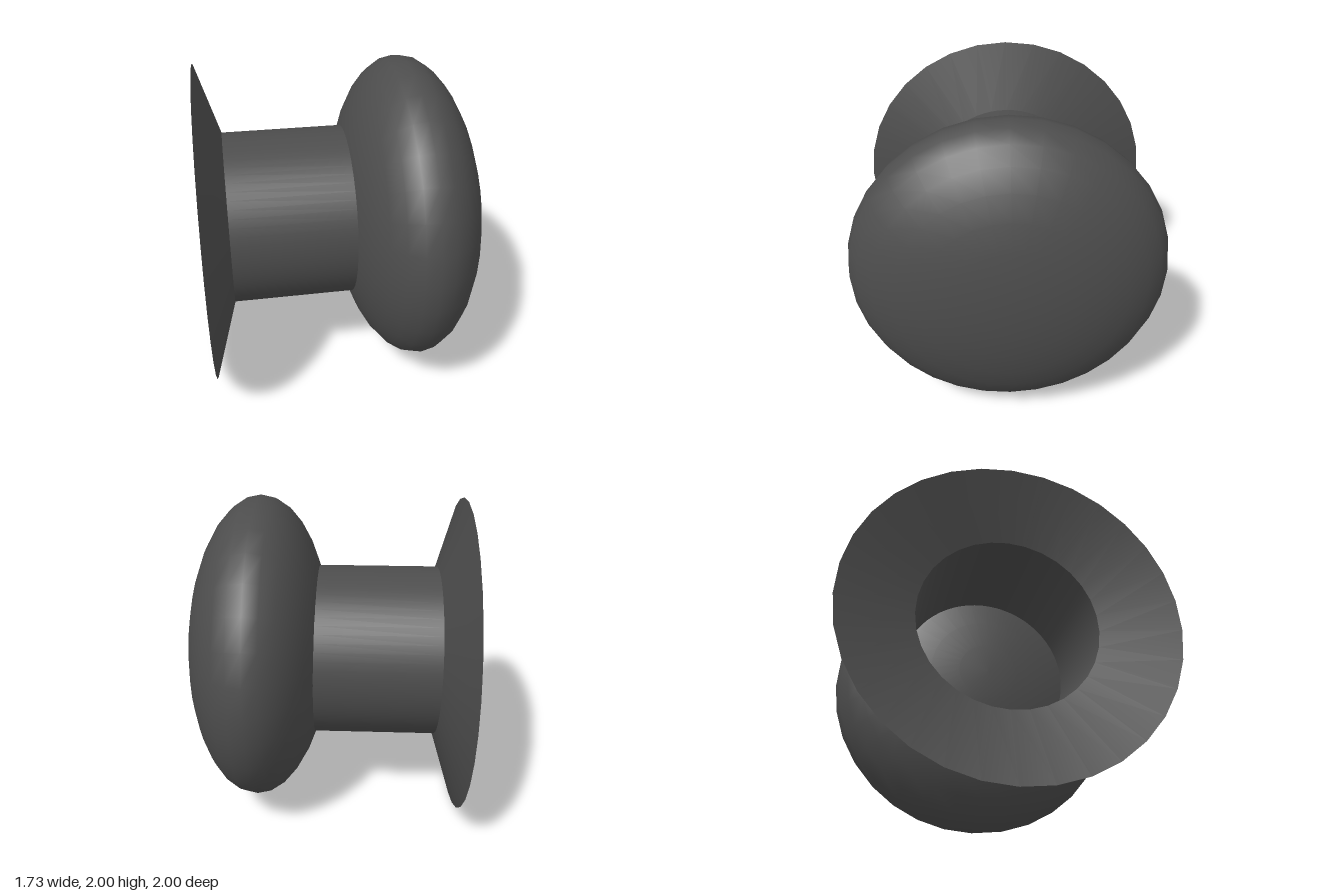
import * as THREE from 'three';

export function createModel() {
  const model = new THREE.Group();
  const darkGrey = new THREE.MeshStandardMaterial({ color: 0x4d4d4d, side: THREE.DoubleSide });
  darkGrey.name = 'darkGrey';

  const add = (name, geometry, x, y, z) => {
    const mesh = new THREE.Mesh(geometry, darkGrey);
    mesh.name = name;
    mesh.position.set(x, y, z);
    model.add(mesh);
    return mesh;
  };

  // Open tube or cone lying along x; radii run from the -x end to the +x end
  const tube = (startRadius, endRadius, length, sides) =>
    new THREE.CylinderGeometry(endRadius, startRadius, length, sides, 1, true).rotateZ(-Math.PI / 2);

  // Flattened round cap, with its poles along x
  const cap = new THREE.SphereGeometry(1, 32, 16).rotateZ(-Math.PI / 2).scale(0.45, 0.975, 0.975);
  add('cap', cap, 0.41, 1.025, 0.022);

  // Hollow stem, ending just inside the cap
  add('stem', tube(0.545, 0.545, 0.78, 64), -0.33, 1.017, 0);

  // Flared base rim, its inner ring raised slightly to meet the stem
  const rim = tube(1, 0.545, 0.145, 32);
  const points = rim.attributes.position;
  for (let i = 0; i < points.count; i++) {
    if (points.getX(i) > 0) points.setY(i, points.getY(i) + 0.017);
  }
  add('baseRim', rim, -0.7925, 1, 0);

  return model;
}
